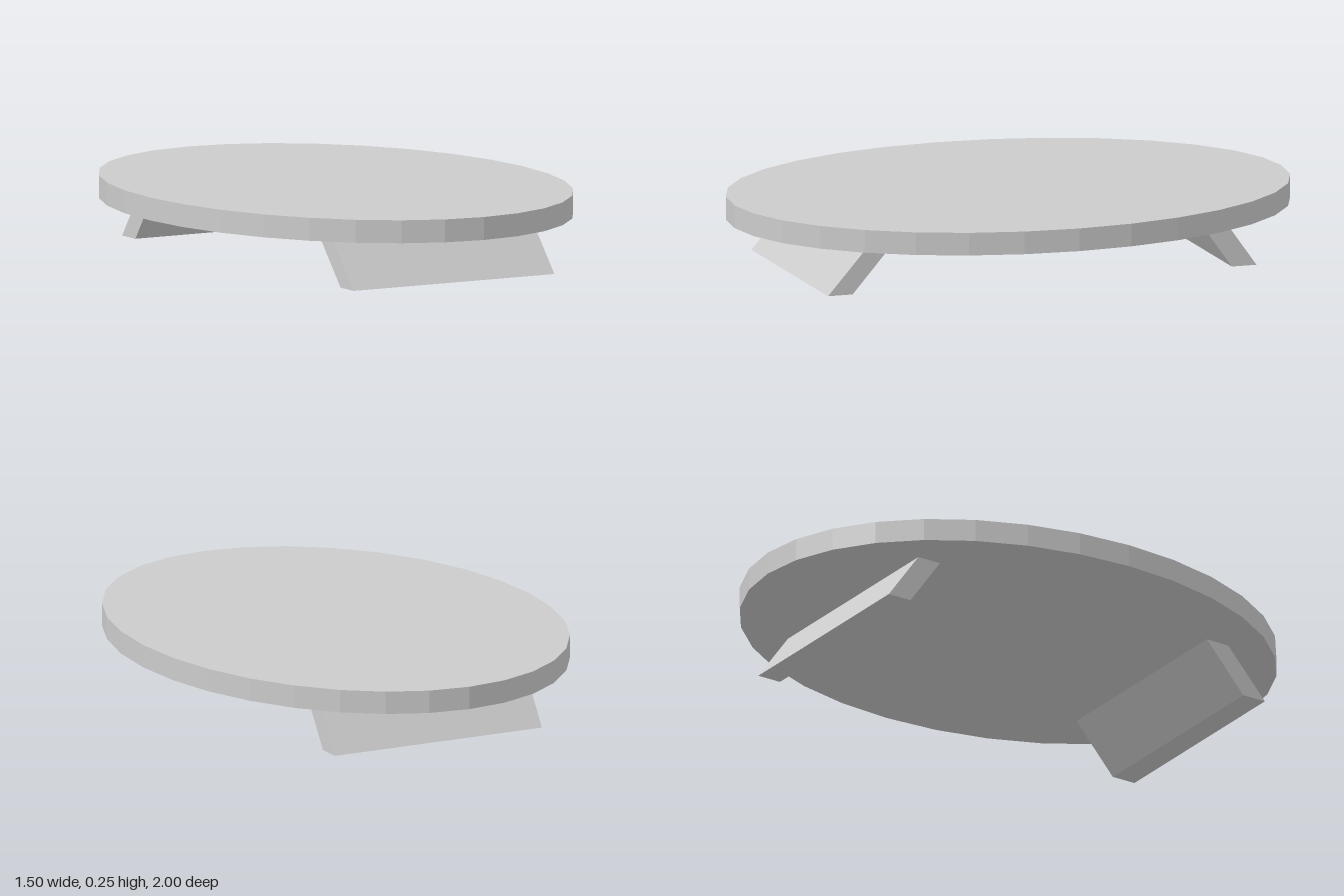
import * as THREE from 'three';

const TOP = 0.253, UNDER = 0.173, LEG_WIDTH = 0.805;

export function createModel() {
  const group = new THREE.Group();
  const material = new THREE.MeshStandardMaterial({ color: 0xcccccc, flatShading: true });

  const add = (name, geometry) => {
    const mesh = new THREE.Mesh(geometry, material);
    mesh.name = name;
    group.add(mesh);
    return mesh;
  };

  // Oval top: a 32-sided disc stretched along z
  const top = new THREE.CylinderGeometry(1, 1, TOP - UNDER, 32);
  top.scale(0.748, 1, 1);
  add('tableTop', top).position.y = (TOP + UNDER) / 2;

  // Slanted slab leg: a side profile of [z, y] corners extruded across x
  const addLeg = (name, profile) => {
    const shape = new THREE.Shape(profile.map(([z, y]) => new THREE.Vector2(z, y)));
    const leg = new THREE.ExtrudeGeometry(shape, { depth: LEG_WIDTH, bevelEnabled: false });
    leg.translate(0, 0, -LEG_WIDTH / 2);
    leg.rotateY(-Math.PI / 2);
    add(name, leg);
  };
  addLeg('frontLeg', [[0.708, 0], [0.798, 0], [0.645, UNDER], [0.557, UNDER]]);
  addLeg('backLeg', [[-0.768, 0], [-0.678, 0], [-0.555, UNDER], [-0.645, UNDER]]);

  return group;
}
